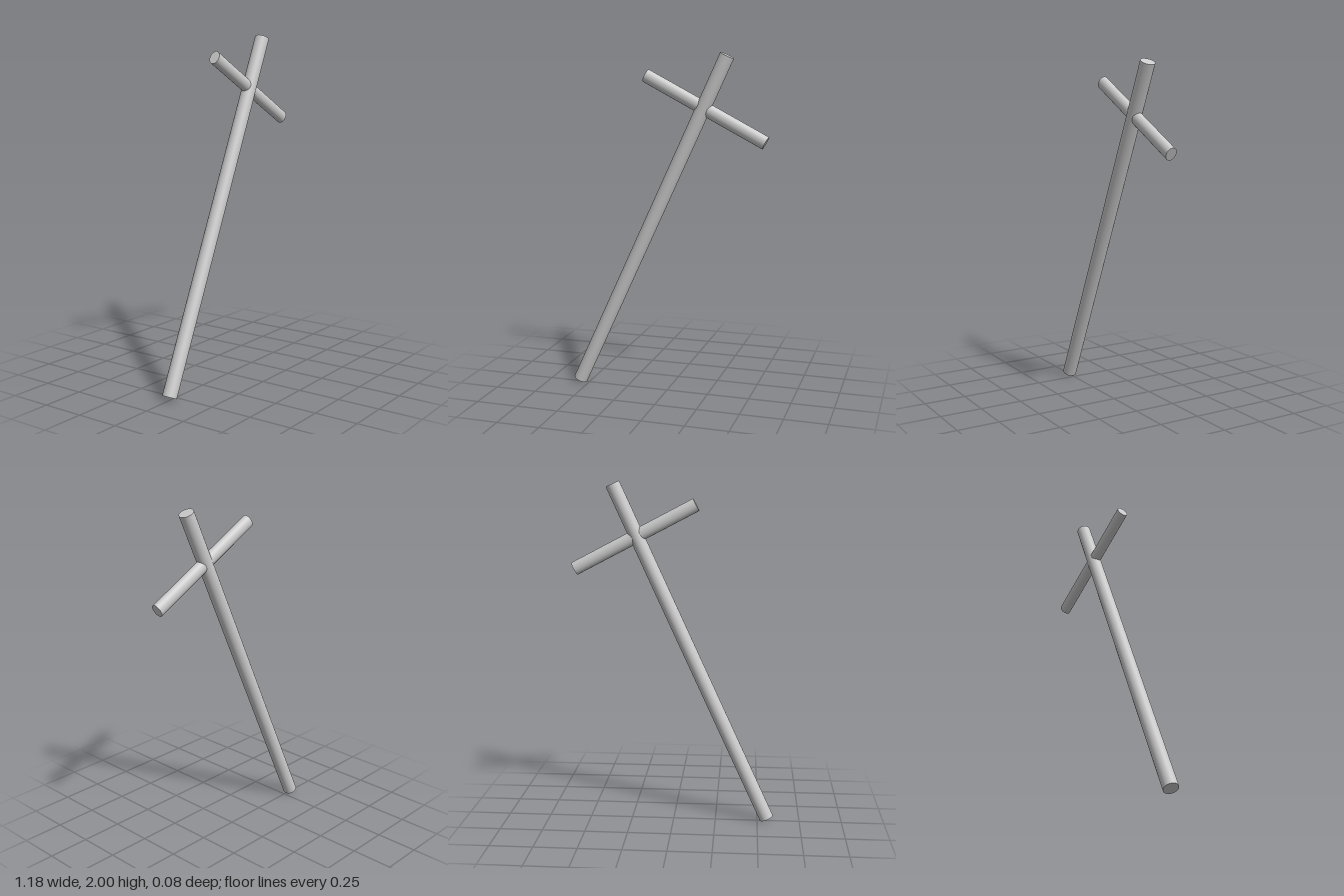
import * as THREE from 'three';

const material = new THREE.MeshStandardMaterial({ color: 0xcccccc });
const UP = new THREE.Vector3(0, 1, 0);

// Straight rod between two end centres; depth scales its section along z
function rod(name, start, end, radius, depth) {
  const axis = end.clone().sub(start);
  const geometry = new THREE.CylinderGeometry(radius, radius, axis.length(), 32);
  geometry.scale(1, 1, depth / radius);
  const mesh = new THREE.Mesh(geometry, material);
  mesh.name = name;
  mesh.position.copy(start).add(end).multiplyScalar(0.5);
  mesh.quaternion.setFromUnitVectors(UP, axis.normalize());
  return mesh;
}

export function createModel() {
  const group = new THREE.Group();
  group.name = 'leaningCross';

  // Long leaning post
  group.add(rod('post',
    new THREE.Vector3(-0.555, 0.0175, 0), new THREE.Vector3(0.347, 1.9825, 0), 0.042, 0.042));

  // Slightly flattened bar through the upper part of the post
  group.add(rod('crossbar',
    new THREE.Vector3(-0.127, 1.868, -0.002), new THREE.Vector3(0.572, 1.502, -0.002), 0.039, 0.032));

  return group;
}
